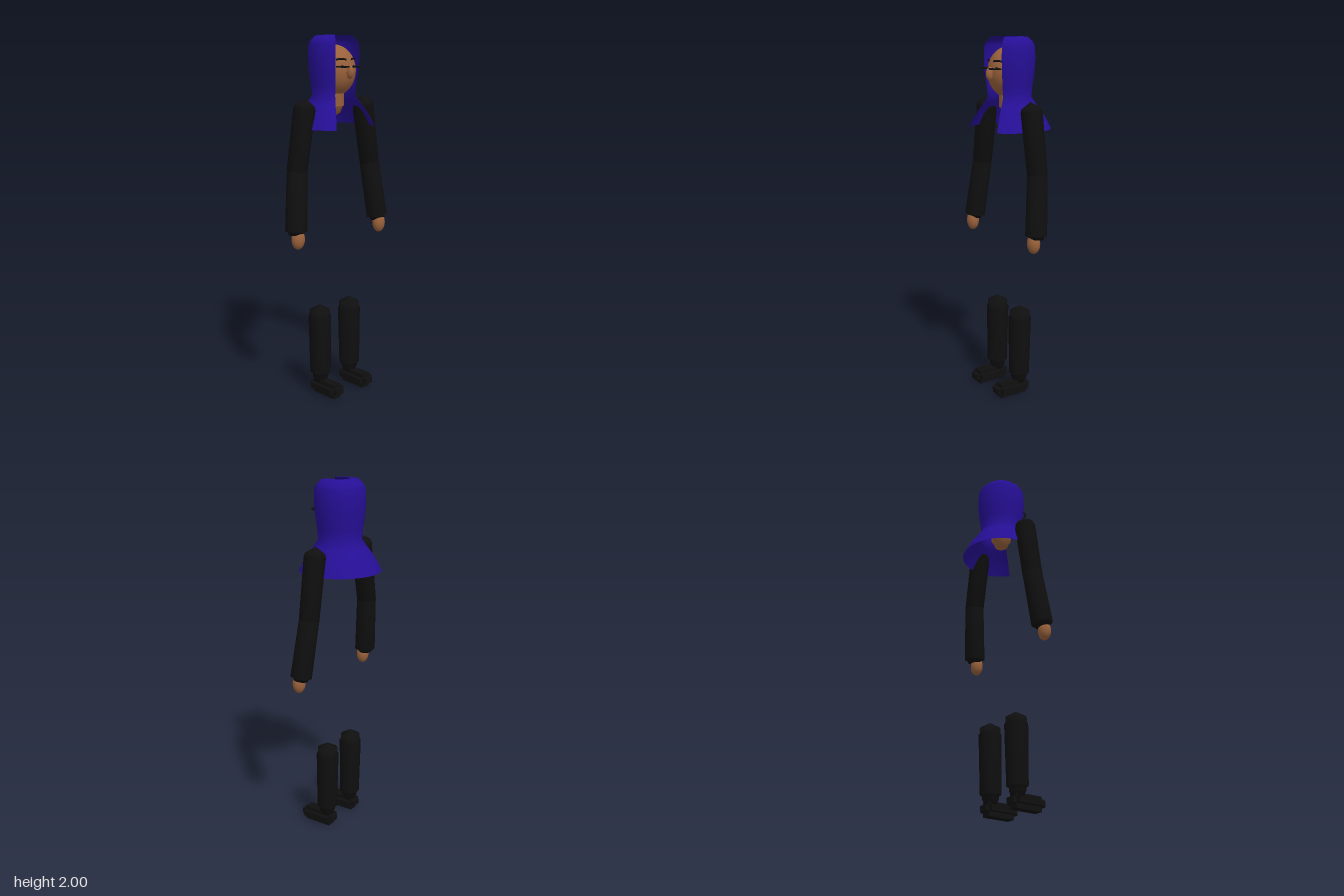
import * as THREE from 'three';

const skin = new THREE.MeshStandardMaterial({ color: 0x9a623c });
skin.name = 'skin';
const cloth = new THREE.MeshStandardMaterial({ color: 0x260f96, side: THREE.DoubleSide });
cloth.name = 'blue cloth';
const black = new THREE.MeshStandardMaterial({ color: 0x0f0f0f });
black.name = 'black';

export function createModel() {
  const model = new THREE.Group();
  model.name = 'hoodedFigure';

  const add = (name, geometry, material, x = 0, y = 0, z = 0) => {
    const mesh = new THREE.Mesh(geometry, material);
    mesh.name = name;
    mesh.position.set(x, y, z);
    model.add(mesh);
    return mesh;
  };
  const ball = (name, material, x, y, z, rx, ry, rz) => {
    const mesh = add(name, new THREE.SphereGeometry(1, 24, 16), material, x, y, z);
    mesh.scale.set(rx, ry, rz);
    return mesh;
  };
  const lathe = (profile, segments = 16, start = 0, length = Math.PI * 2) =>
    new THREE.LatheGeometry(profile.map(p => new THREE.Vector2(...p)), segments, start, length);

  // A turned limb from bottom to top; profile is [radius, distance from bottom], rising
  const limb = (name, bottom, top, profile) => {
    const from = new THREE.Vector3(...bottom);
    const axis = new THREE.Vector3(...top).sub(from).normalize();
    const mesh = add(name, lathe(profile), black, ...bottom);
    mesh.quaternion.setFromUnitVectors(new THREE.Vector3(0, 1, 0), axis);
  };

  // Hood: open at the crown and down the front
  const gap = 0.69;
  add('hood', lathe([
    [0.225, 1.51], [0.205, 1.55], [0.178, 1.595], [0.145, 1.64], [0.118, 1.68],
    [0.124, 1.74], [0.134, 1.81], [0.139, 1.88], [0.136, 1.95], [0.122, 1.975],
    [0.098, 1.997], [0.055, 2.0],
  ], 36, gap, Math.PI * 2 - gap * 2), cloth, 0, 0, 0.025);

  // Head and neck
  ball('head', skin, 0, 1.812, 0.025, 0.12, 0.138, 0.12);
  add('neck', lathe([
    [0, 1.565], [0.036, 1.585], [0.05, 1.62], [0.057, 1.625], [0.057, 1.74],
  ]), skin, 0, 0, 0.025);
  ball('nose', skin, 0, 1.807, 0.148, 0.017, 0.036, 0.025);

  for (const side of [1, -1]) {
    const label = side > 0 ? 'left' : 'right';

    // Eyes, brows and spectacle rims lying flat
    ball(label + 'Eye', black, side * 0.04, 1.835, 0.133, 0.01, 0.008, 0.008);
    const brow = new THREE.CatmullRomCurve3([
      new THREE.Vector3(side * 0.016, 1.872, 0.137),
      new THREE.Vector3(side * 0.043, 1.876, 0.131),
      new THREE.Vector3(side * 0.07, 1.872, 0.114),
    ]);
    add(label + 'Brow', new THREE.TubeGeometry(brow, 8, 0.005, 6), black);
    const rim = add(label + 'Rim', new THREE.TorusGeometry(0.025, 0.004, 8, 24), black,
      side * 0.041, 1.835, 0.15);
    rim.rotation.x = Math.PI / 2;
    add(label + 'Temple', new THREE.BoxGeometry(0.02, 0.007, 0.012), black,
      side * 0.071, 1.835, 0.135);

    // Arm
    const elbow = [side * 0.275, 1.29, 0.032];
    limb(label + 'UpperArm', elbow, [side * 0.21, 1.67, 0.032], [
      [0, -0.03], [0.055, 0], [0.059, 0.33], [0.054, 0.35], [0, 0.386],
    ]);
    limb(label + 'Forearm', [side * 0.314, 0.95, 0.066], elbow, [
      [0, 0], [0.04, 0.005], [0.043, 0.02], [0.059, 0.025], [0.055, 0.34], [0, 0.365],
    ]);
    ball(label + 'Hand', skin, side * 0.311, 0.935, 0.079, 0.038, 0.056, 0.034);

    // Lower leg with knee point and ankle
    limb(label + 'LowerLeg', [side * 0.115, 0.05, 0.04], [side * 0.115, 0.52, 0.033], [
      [0, 0], [0.028, 0.01], [0.045, 0.045], [0.045, 0.065], [0.058, 0.07],
      [0.064, 0.4], [0.057, 0.405], [0.057, 0.438], [0, 0.47],
    ]);

    // Shoe: stepped block with notched edges
    const x = side * 0.115;
    add(label + 'ShoeCore', new THREE.BoxGeometry(0.054, 0.08, 0.165), black, x, 0.04, 0.0925);
    add(label + 'ShoeSides', new THREE.BoxGeometry(0.1, 0.032, 0.165), black, x, 0.043, 0.0925);
    add(label + 'ShoeToeAndHeel', new THREE.BoxGeometry(0.054, 0.032, 0.21), black, x, 0.043, 0.095);
  }
  return model;
}
